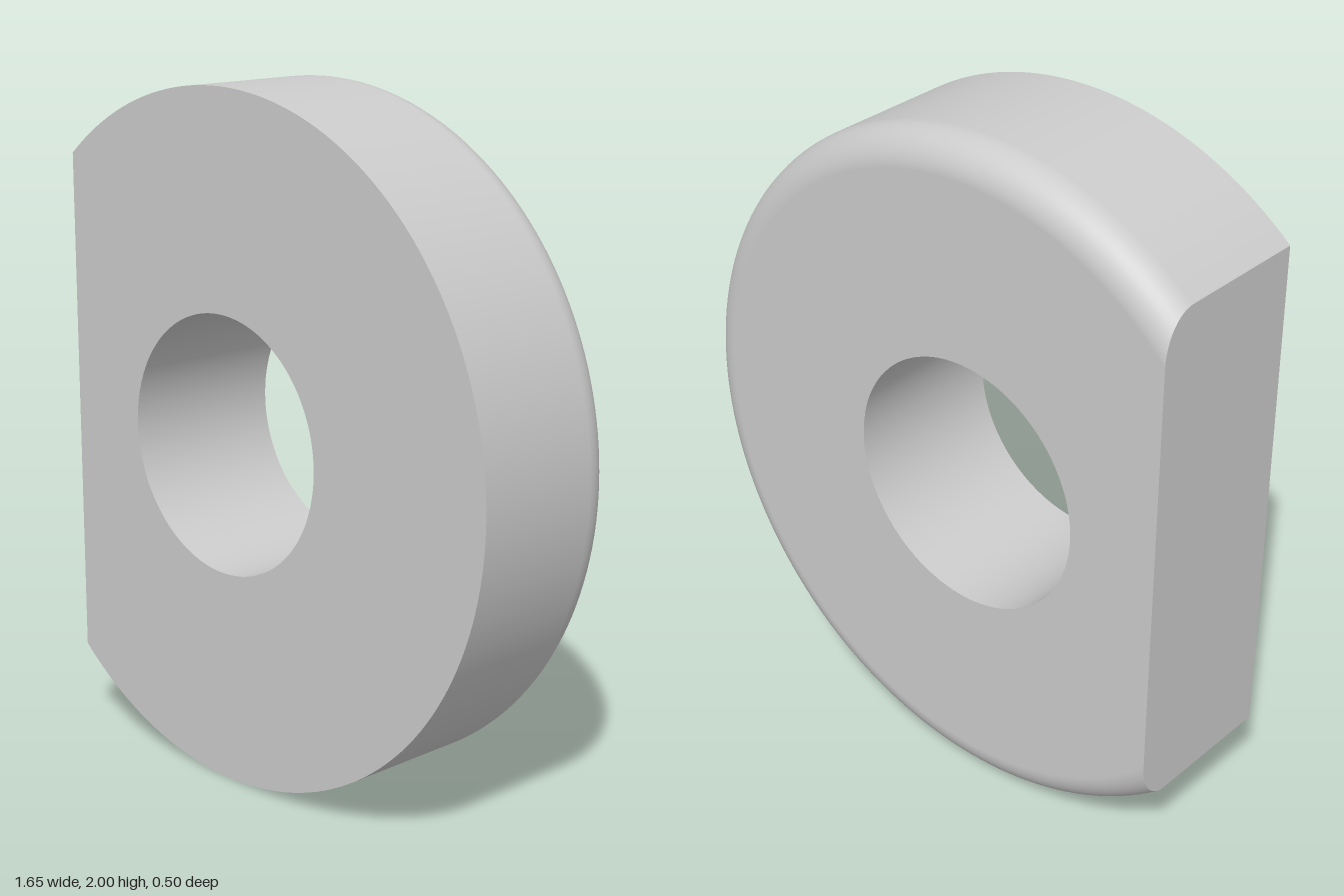
import * as THREE from 'three';

const R = 1, HOLE = 0.375, FLAT = -0.65, HALF = 0.25, FILLET = 0.1, SEG = 128;

// Point on a circle of radius r, trimmed by the flat; t runs 0..1 along the arc
function arcAngle(r, t) {
  return Math.acos(FLAT / r) * (2 * t - 1);
}

// Rim profile from the square front edge to the rounded back edge
function rimProfile() {
  const rows = [{ r: R, z: HALF, phi: 0 }];
  const steps = 12;
  for (let i = 0; i <= steps; i++) {
    const phi = (i / steps) * Math.PI / 2;
    rows.push({
      r: R - FILLET + FILLET * Math.cos(phi),
      z: -HALF + FILLET - FILLET * Math.sin(phi),
      phi,
    });
  }
  return rows;
}

function rimGeometry(rows) {
  const pos = [], nor = [], idx = [];
  rows.forEach(({ r, z, phi }, i) => {
    for (let j = 0; j <= SEG; j++) {
      const a = arcAngle(r, j / SEG);
      pos.push(r * Math.cos(a), r * Math.sin(a), z);
      nor.push(Math.cos(a) * Math.cos(phi), Math.sin(a) * Math.cos(phi), -Math.sin(phi));
      if (i < rows.length - 1 && j < SEG) {
        const p = i * (SEG + 1) + j, q = p + SEG + 1;
        idx.push(p, q, p + 1, p + 1, q, q + 1);
      }
    }
  });
  const g = new THREE.BufferGeometry();
  g.setAttribute('position', new THREE.Float32BufferAttribute(pos, 3));
  g.setAttribute('normal', new THREE.Float32BufferAttribute(nor, 3));
  g.setIndex(idx);
  return g;
}

// Trimmed disc with the bore cut out, facing +z
function faceGeometry(r) {
  const pts = [];
  for (let j = 0; j <= SEG; j++) {
    const a = arcAngle(r, j / SEG);
    pts.push(new THREE.Vector2(r * Math.cos(a), r * Math.sin(a)));
  }
  const shape = new THREE.Shape(pts);
  shape.holes.push(new THREE.Path().absarc(0, 0, HOLE, 0, Math.PI * 2, true));
  return new THREE.ShapeGeometry(shape, 96);
}

// Flat side wall, outlined by the rim profile where the cut meets it
function flatGeometry(rows) {
  const half = rows.map(({ r, z }) => new THREE.Vector2(z, Math.sqrt(r * r - FLAT * FLAT)));
  const mirrored = half.map((p) => new THREE.Vector2(p.x, -p.y)).reverse();
  return new THREE.ShapeGeometry(new THREE.Shape([...half, ...mirrored]))
    .rotateY(-Math.PI / 2)
    .translate(FLAT, 0, 0);
}

export function createModel() {
  const group = new THREE.Group();
  group.name = 'flattenedRing';
  const material = new THREE.MeshStandardMaterial({ color: 0xcccccc });
  const add = (name, geometry) => {
    const mesh = new THREE.Mesh(geometry, material);
    mesh.name = name;
    mesh.position.set(-(R + FLAT) / 2, R, 0);
    group.add(mesh);
  };

  const rows = rimProfile();
  add('roundedRim', rimGeometry(rows));
  add('flatSide', flatGeometry(rows));
  add('frontFace', faceGeometry(R).translate(0, 0, HALF));
  add('backFace', faceGeometry(R - FILLET).rotateX(Math.PI).translate(0, 0, -HALF));

  // Bore wall, profile run downward so it faces inward
  const bore = [new THREE.Vector2(HOLE, HALF), new THREE.Vector2(HOLE, -HALF)];
  add('bore', new THREE.LatheGeometry(bore, 96).rotateX(Math.PI / 2));

  return group;
}
